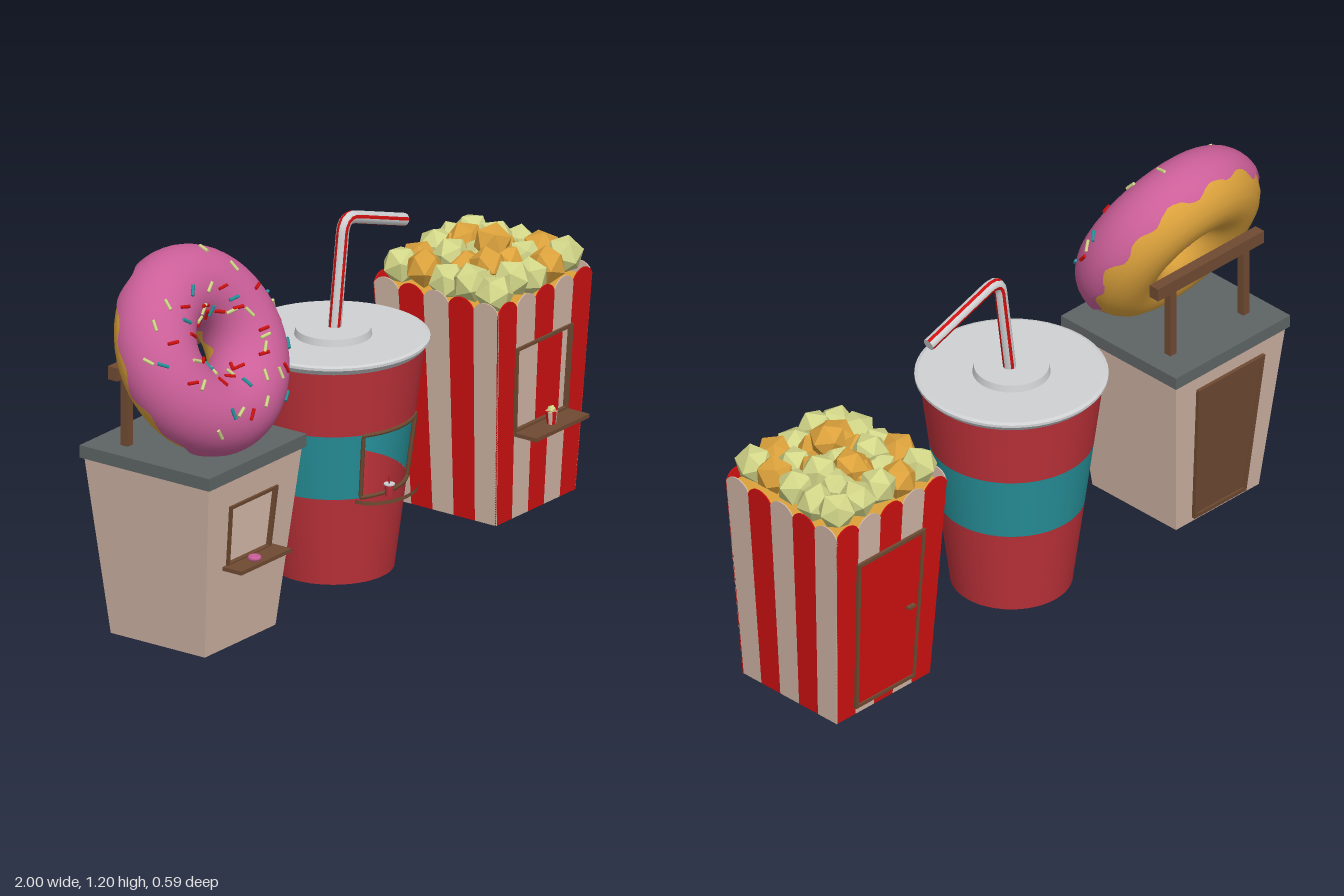
import * as THREE from 'three';

const mat = (name, color, extra = {}) => Object.assign(new THREE.MeshStandardMaterial({ color, ...extra }), { name });

export function createModel() {
  const M = {
    pink: mat('pinkIcing', 0xcc5f99),
    gold: mat('goldenDough', 0xdca23c, { flatShading: false }),
    cream: mat('cream', 0xd2b6a6),
    slate: mat('slateGrey', 0x5e6464),
    wood: mat('brownWood', 0x6f4a32),
    cupRed: mat('cupRed', 0xbe323a, { side: THREE.DoubleSide }),
    teal: mat('teal', 0x27919a, { side: THREE.DoubleSide }),
    lid: mat('lidGrey', 0xcfd1d3),
    red: mat('brightRed', 0xd01010),
    pale: mat('paleYellow', 0xd2d688),
  };
  const model = new THREE.Group();
  const stand = (name, x, z) => {
    const g = new THREE.Group();
    g.name = name;
    g.position.set(x, 0, z);
    model.add(g);
    return g;
  };
  const add = (parent, name, geo, material, x = 0, y = 0, z = 0) => {
    const m = new THREE.Mesh(geo, material);
    m.name = name;
    m.position.set(x, y, z);
    parent.add(m);
    return m;
  };
  const box = (w, h, d) => new THREE.BoxGeometry(w, h, d);
  let seed = 7;
  const rand = () => (seed = (seed * 16807) % 2147483647) / 2147483647;

  // Shapes use x from -1 to 1 across a wall, and real heights for y
  const rect = (x0, x1, y0, y1, C = THREE.Shape) => new C()
    .moveTo(x0, y0).lineTo(x1, y0).lineTo(x1, y1).lineTo(x0, y1).closePath();
  const ring = (x, y0, y1, tx, ty) => {
    const s = rect(-x, x, y0, y1);
    s.holes.push(rect(-x + tx, x - tx, y0 + ty, y1 - ty, THREE.Path));
    return s;
  };
  // Thin plate laid on a sloping wall whose half-width at height y is half(y)
  const plate = (shape, half, depth, offset) => {
    const g = new THREE.ExtrudeGeometry(shape, { depth, bevelEnabled: false, curveSegments: 8 });
    const p = g.attributes.position;
    for (let i = 0; i < p.count; i++) {
      const h = half(p.getY(i));
      p.setXYZ(i, p.getX(i) * h, p.getY(i), p.getZ(i) + h + offset);
    }
    g.computeVertexNormals();
    return g;
  };
  const addPlate = (parent, name, shape, half, material, side, depth = 0.004, offset = -0.004) => {
    add(parent, name, plate(shape, half, depth, offset), material).rotation.y = side * Math.PI / 2;
  };

  // ---------- Doughnut stand ----------
  const dn = stand('doughnutStand', -0.677, -0.008);
  const dHalf = y => 0.176 + 0.1 * y;
  for (let side = 0; side < 4; side++) {
    const wall = rect(-1, 1, 0, 0.57);
    if (side === 0) wall.holes.push(rect(-0.5, 0.5, 0.28, 0.47, THREE.Path));
    addPlate(dn, 'wall', wall, dHalf, M.cream, side);
  }
  add(dn, 'floor', box(0.35, 0.006, 0.35), M.cream, 0, 0.003, 0);
  add(dn, 'roof', box(0.485, 0.04, 0.485), M.slate, 0, 0.585, 0);
  addPlate(dn, 'windowFrame', ring(0.53, 0.275, 0.476, 0.05, 0.01), dHalf, M.wood, 0, 0.014, -0.006);
  add(dn, 'counter', box(0.25, 0.012, 0.085), M.wood, 0, 0.275, 0.232);
  addPlate(dn, 'door', rect(-0.58, 0.58, 0.02, 0.5), dHalf, M.wood, 2, 0.012, -0.006);
  addPlate(dn, 'doorFrame', ring(0.62, 0.015, 0.51, 0.06, 0.014), dHalf, M.wood, 2, 0.018, -0.006);
  for (const x of [-0.155, 0.155]) add(dn, 'signPost', box(0.026, 0.25, 0.026), M.wood, x, 0.72, -0.132);
  add(dn, 'signBeam', box(0.45, 0.042, 0.036), M.wood, 0, 0.852, -0.132);
  const snack = add(dn, 'smallDoughnut', new THREE.TorusGeometry(0.013, 0.008, 8, 16), M.pink, -0.02, 0.289, 0.245);
  snack.rotation.x = -Math.PI / 2;

  // Tilted doughnut
  const ringR = 0.197, iceR = 0.129;
  const dough = new THREE.Group();
  dough.name = 'doughnut';
  dough.position.set(0.003, 0.894, 0.023);
  dough.rotation.x = -0.49;
  dn.add(dough);
  add(dough, 'dough', new THREE.TorusGeometry(ringR, 0.119, 20, 48), M.gold);
  const onRing = (u, v, r) => new THREE.Vector3(
    (ringR + r * Math.cos(v)) * Math.cos(u), (ringR + r * Math.cos(v)) * Math.sin(u), r * Math.sin(v));
  const iceGeo = new THREE.TorusGeometry(ringR, iceR, 20, 96);
  const { position: ip, normal: inr, uv } = iceGeo.attributes;
  for (let i = 0; i < ip.count; i++) {
    const u = uv.getX(i) * Math.PI * 2, t = uv.getY(i);
    const lo = -0.38 + 0.11 * Math.sin(13 * u) + 0.06 * Math.sin(7 * u + 1);
    const hi = Math.PI + 0.35 + 0.14 * Math.sin(7 * u);
    const v = lo + t * (hi - lo);
    const p = onRing(u, v, t < 0.001 || t > 0.999 ? 0.115 : iceR);
    ip.setXYZ(i, p.x, p.y, p.z);
    inr.setXYZ(i, Math.cos(v) * Math.cos(u), Math.cos(v) * Math.sin(u), Math.sin(v));
  }
  add(dough, 'icing', iceGeo, M.pink);
  const sprinkleGeo = new THREE.CylinderGeometry(0.0055, 0.0055, 0.036, 6);
  for (let i = 0; i < 54; i++) {
    const u = i * 2.39996, v = 0.5 + 2.1 * rand(), a = rand() * Math.PI;
    const along = new THREE.Vector3(-Math.sin(u), Math.cos(u), 0).multiplyScalar(Math.cos(a));
    along.addScaledVector(new THREE.Vector3(
      -Math.sin(v) * Math.cos(u), -Math.sin(v) * Math.sin(u), Math.cos(v)), Math.sin(a));
    const s = add(dough, 'sprinkle', sprinkleGeo, [M.red, M.pale, M.teal, M.pale, M.red][i % 5]);
    s.position.copy(onRing(u, v, iceR + 0.002));
    s.quaternion.setFromUnitVectors(new THREE.Vector3(0, 1, 0), along);
  }

  // ---------- Drink stand ----------
  const cup = stand('drinkStand', 0.02, -0.008);
  const cupR = y => 0.184 + 0.13 * y;
  const band = (name, y0, y1, material, gap = 0) => add(cup, name, new THREE.CylinderGeometry(
    cupR(y1), cupR(y0), y1 - y0, 48, 1, true, gap, Math.PI * 2 - 2 * gap), material, 0, (y0 + y1) / 2, 0);
  band('cupBottom', 0, 0.285, M.cupRed);
  band('cupBand', 0.285, 0.495, M.teal, 0.55);
  band('cupTop', 0.495, 0.71, M.cupRed);
  add(cup, 'cupBase', new THREE.CylinderGeometry(0.184, 0.184, 0.004, 48), M.cupRed, 0, 0.002, 0);
  const lidProfile = [[0, 0.7], [0.272, 0.7], [0.291, 0.722], [0.291, 0.73], [0.28, 0.734], [0.117, 0.734],
    [0.113, 0.756], [0, 0.756]];
  const lidPoints = lidProfile.flatMap(([x, y]) => [new THREE.Vector2(x, y), new THREE.Vector2(x, y)]);
  add(cup, 'lid', new THREE.LatheGeometry(lidPoints.slice(1, -1), 48), M.lid);

  // Curved window frame and half-round counter
  const edge = [];
  const onCup = (a, y) => edge.push(new THREE.Vector3(Math.sin(a) * cupR(y), y, Math.cos(a) * cupR(y)));
  for (let i = 0; i <= 10; i++) onCup(-0.55 + 0.11 * i, 0.287);
  for (let i = 0; i <= 10; i++) onCup(0.55 - 0.11 * i, 0.493);
  const frameCurve = new THREE.CatmullRomCurve3(edge, true, 'catmullrom', 0);
  add(cup, 'windowFrame', new THREE.TubeGeometry(frameCurve, 120, 0.007, 6, true), M.wood);
  add(cup, 'counter', new THREE.CylinderGeometry(0.13, 0.13, 0.012, 24, 1, -Math.PI / 2, Math.PI),
    M.wood, 0, 0.276, 0.185).scale.z = 0.7;
  add(cup, 'smallCup', new THREE.CylinderGeometry(0.016, 0.011, 0.036, 12), M.cupRed, -0.04, 0.3, 0.24);
  add(cup, 'smallLid', new THREE.CylinderGeometry(0.017, 0.017, 0.004, 12), M.lid, -0.04, 0.32, 0.24);
  add(cup, 'smallStraw', new THREE.CylinderGeometry(0.002, 0.002, 0.022, 6), M.red, -0.04, 0.332, 0.24);

  // Bent straw with lengthwise stripes
  const V = (x, y) => new THREE.Vector3(x, y, 0);
  const path = new THREE.CurvePath();
  path.add(new THREE.LineCurve3(V(0.006, 0.74), V(0.046, 1.04)));
  path.add(new THREE.QuadraticBezierCurve3(V(0.046, 1.04), V(0.052, 1.09), V(0.1, 1.077)));
  path.add(new THREE.LineCurve3(V(0.1, 1.077), V(0.352, 0.993)));
  const straw = new THREE.TubeGeometry(path, 40, 0.02, 12, false);
  for (let q = 0; q < 40 * 12; q++) straw.addGroup(q * 6, 6, q % 3 === 0 ? 1 : 0);
  add(cup, 'straw', straw, [M.lid, M.red]);
  const tip = add(cup, 'strawTip', new THREE.CircleGeometry(0.02, 12), M.lid, 0.352, 0.993, 0);
  tip.quaternion.setFromUnitVectors(new THREE.Vector3(0, 0, 1), V(0.252, -0.084).normalize());

  // ---------- Popcorn stand ----------
  const pop = stand('popcornStand', 0.762, -0.006);
  const pHalf = y => 0.198 + 0.052 * y;
  const stripe = (i, y0) => {
    const x0 = -1 + 0.4 * i;
    return new THREE.Shape().moveTo(x0, y0).lineTo(x0 + 0.4, y0).lineTo(x0 + 0.4, 0.69)
      .bezierCurveTo(x0 + 0.32, 0.73, x0 + 0.08, 0.73, x0, 0.69).closePath();
  };
  for (let side = 0; side < 4; side++) {
    for (let i = 0; i < 5; i++) {
      const color = (i + side) % 2 ? M.cream : M.red;
      const window = side === 0 && i > 0 && i < 4;
      if (window) addPlate(pop, 'stripe', rect(-1 + 0.4 * i, -0.6 + 0.4 * i, 0, 0.285), pHalf, color, side);
      addPlate(pop, 'stripe', stripe(i, window ? 0.55 : 0), pHalf, color, side);
    }
  }
  add(pop, 'floor', box(0.392, 0.006, 0.392), M.slate, 0, 0.003, 0);
  add(pop, 'popcornBed', box(0.455, 0.01, 0.455), M.gold, 0, 0.675, 0);
  addPlate(pop, 'windowFrame', ring(0.62, 0.28, 0.556, 0.045, 0.01), pHalf, M.wood, 0, 0.014, -0.006);
  add(pop, 'counter', box(0.265, 0.012, 0.09), M.wood, 0, 0.277, 0.255);
  addPlate(pop, 'door', rect(-0.6, 0.6, 0.03, 0.55), pHalf, M.red, 2, 0.014, -0.009);
  addPlate(pop, 'doorFrame', ring(0.63, 0.025, 0.56, 0.05, 0.012), pHalf, M.wood, 2, 0.016, -0.006);
  add(pop, 'doorHandle', box(0.03, 0.008, 0.014), M.wood, -0.09, 0.3, -0.226);
  for (let i = 0; i < 8; i++) {
    add(pop, 'smallTub', new THREE.CylinderGeometry(0.019, 0.014, 0.04, 2, 1, false, i * Math.PI / 4, Math.PI / 4),
      i % 2 ? M.red : M.cream, 0, 0.303, 0.257);
  }
  const kernel = new THREE.IcosahedronGeometry(0.061, 0);
  add(pop, 'smallPopcorn', kernel, M.pale, 0, 0.326, 0.257).scale.setScalar(0.25);

  // Heaped popcorn
  const puff = (x, y, z, material) => {
    const m = add(pop, 'popcorn', kernel, material, x, y, z);
    m.rotation.set(rand() * 3, rand() * 3, rand() * 3);
  };
  for (let i = 0; i < 5; i++) {
    for (let j = 0; j < 5; j++) {
      const x = (i - 2) * 0.087, z = (j - 2) * 0.087;
      puff(x, 0.735 + 0.03 * rand() - 0.2 * (x * x + z * z), z, (i + 2 * j) % 3 === 0 ? M.pale : (i + j) % 2 ? M.gold : M.pale);
    }
  }
  puff(-0.005, 0.815, 0.04, M.gold);
  puff(0.1, 0.78, -0.03, M.pale);
  puff(-0.09, 0.775, -0.05, M.pale);
  puff(0.02, 0.785, -0.08, M.gold);
  puff(-0.08, 0.77, 0.08, M.gold);
  return model;
}
